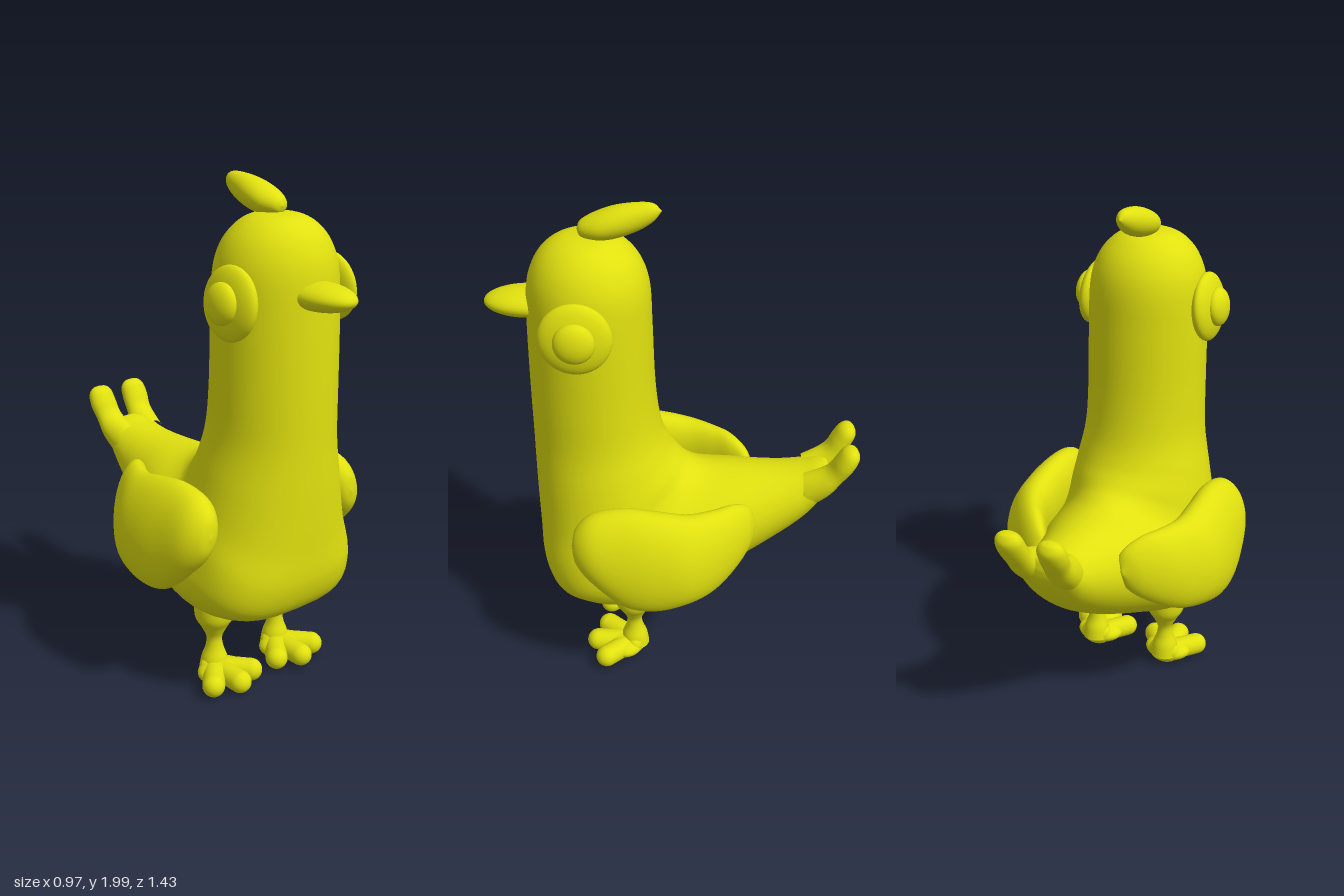
import * as THREE from 'three';
import { mergeVertices } from 'three/addons/utils/BufferGeometryUtils.js';

const V = (x, y, z) => new THREE.Vector3(x, y, z);

// Smooth skin through oval sections.
// Section: [x1,y1,z1, x2,y2,z2, halfWidth, bias]; the two points are the ends of the oval,
// bias makes it wider and squarer towards the first point.
function loft(sections, steps, sides = 40) {
  const curve = (f) => new THREE.CatmullRomCurve3(sections.map(f), false, 'catmullrom');
  const first = curve((s) => V(s[0], s[1], s[2]));
  const second = curve((s) => V(s[3], s[4], s[5]));
  const shape = curve((s) => V(s[6], s[7] || 0, 0));
  const pos = [], index = [];
  for (let i = 0; i <= steps; i++) {
    const a = first.getPoint(i / steps), b = second.getPoint(i / steps), s = shape.getPoint(i / steps);
    const bias = Math.max(s.y, 0);
    for (let j = 0; j < sides; j++) {
      const t = (j / sides) * Math.PI * 2, c = Math.cos(t), sn = Math.sin(t);
      const p = b.clone().lerp(a, (1 + c) / 2);
      const w = Math.max(s.x, 0) * Math.pow(Math.abs(sn), 1 - bias * (0.5 + 0.5 * c)) * (1 + bias * c);
      pos.push(p.x + Math.sign(sn) * w, p.y, p.z);
      if (i < steps) {
        const k = (j + 1) % sides, r = i * sides, q = r + sides;
        index.push(r + j, q + j, r + k, q + j, q + k, r + k);
      }
    }
  }
  let g = new THREE.BufferGeometry();
  g.setAttribute('position', new THREE.Float32BufferAttribute(pos, 3));
  g.setIndex(index);
  g = mergeVertices(g, 1e-5);
  g.computeVertexNormals();
  return g;
}

export function createModel() {
  const group = new THREE.Group();
  const yellow = new THREE.MeshStandardMaterial({ color: 0xe0e00f });
  yellow.name = 'yellow';

  const add = (name, geometry, parent = group) => {
    const m = new THREE.Mesh(geometry, yellow);
    m.name = name;
    parent.add(m);
    return m;
  };
  const ellipsoid = (name, center, radii, parent = group) => {
    const m = add(name, new THREE.SphereGeometry(1, 40, 28), parent);
    m.position.set(...center);
    m.scale.set(...radii);
    return m;
  };

  // Head, neck, belly and tail in one skin: [frontZ, frontY, backZ, backY, halfWidth, bias]
  const body = [
    [0.325, 1.88, 0.325, 1.88, 0],
    [0.42, 1.868, 0.235, 1.868, 0.092],
    [0.485, 1.83, 0.175, 1.83, 0.155],
    [0.53, 1.765, 0.127, 1.765, 0.203],
    [0.555, 1.67, 0.1, 1.67, 0.23],
    [0.562, 1.5, 0.093, 1.5, 0.238],
    [0.565, 1.25, 0.085, 1.25, 0.24],
    [0.565, 1.05, 0.065, 1.08, 0.247],
    [0.565, 0.85, 0.03, 0.98, 0.275, 0.04],
    [0.56, 0.65, -0.01, 0.925, 0.3, 0.12],
    [0.55, 0.5, -0.045, 0.895, 0.32, 0.25],
    [0.5, 0.39, -0.085, 0.88, 0.33, 0.33],
    [0.4, 0.34, -0.12, 0.872, 0.335, 0.35],
    [0.26, 0.315, -0.16, 0.868, 0.33, 0.33],
    [0.1, 0.31, -0.2, 0.866, 0.305, 0.25],
    [-0.05, 0.36, -0.26, 0.865, 0.255, 0.15],
    [-0.22, 0.44, -0.34, 0.865, 0.2, 0.06],
    [-0.38, 0.54, -0.42, 0.868, 0.16],
    [-0.5, 0.64, -0.5, 0.878, 0.135],
    [-0.565, 0.725, -0.56, 0.89, 0.12],
    [-0.6, 0.79, -0.6, 0.885, 0.085],
    [-0.61, 0.84, -0.61, 0.84, 0],
  ].map(([fz, fy, bz, by, w, b]) => [0, fy, fz, 0, by, bz, w, b]);
  add('body', loft(body, 126, 56));

  // Crest on top of the head: [z, bottomY, topY, halfWidth]
  add('crest', loft([
    [0.36, 1.9, 1.9, 0],
    [0.345, 1.872, 1.93, 0.035],
    [0.29, 1.86, 1.96, 0.063],
    [0.22, 1.868, 1.985, 0.064],
    [0.14, 1.895, 1.998, 0.046],
    [0.085, 1.93, 1.995, 0.027],
    [0.055, 1.968, 1.968, 0],
  ].map(([z, lo, hi, w]) => [0, lo, z, 0, hi, z, w]), 48));

  ellipsoid('beak', [0, 1.61, 0.55], [0.095, 0.052, 0.165]);

  for (const s of [1, -1]) {
    const side = s > 0 ? 'left' : 'right';

    // Bulging eye with a smaller pupil dome
    const eye = ellipsoid(side + 'Eye', [s * 0.243, 1.585, 0.36], [0.046, 0.135, 0.135]);
    eye.rotation.z = s * 0.1;
    ellipsoid(side + 'Pupil', [s * 0.285, 1.59, 0.36], [0.04, 0.076, 0.076]).rotation.z = s * 0.1;

    // Folded wing, leaning inward at the top: [z, x, y, halfThickness, halfHeight]
    add(side + 'Wing', loft([
      [0.402, 0.365, 0.74, 0, 0],
      [0.385, 0.367, 0.74, 0.045, 0.075],
      [0.32, 0.37, 0.73, 0.085, 0.145],
      [0.2, 0.375, 0.69, 0.1, 0.207],
      [0.08, 0.378, 0.675, 0.103, 0.21],
      [-0.04, 0.365, 0.675, 0.1, 0.188],
      [-0.14, 0.32, 0.682, 0.09, 0.172],
      [-0.22, 0.265, 0.702, 0.078, 0.142],
      [-0.285, 0.21, 0.713, 0.053, 0.085],
      [-0.315, 0.19, 0.716, 0, 0],
    ].map(([z, x, y, w, h]) =>
      [s * (x + 0.16 * h), y - h, z, s * (x - 0.16 * h), y + h, z, w]), 72));

    // Upturned tail prong: [x, lowerY, lowerZ, upperY, upperZ, halfWidth]
    add(side + 'TailProng', loft([
      [0.065, 0.7, -0.5, 0.87, -0.5, 0.06],
      [0.075, 0.785, -0.6, 0.9, -0.57, 0.062],
      [0.08, 0.86, -0.655, 0.925, -0.6, 0.056],
      [0.085, 0.92, -0.695, 0.965, -0.622, 0.058],
      [0.085, 0.97, -0.715, 1.0, -0.645, 0.052],
      [0.085, 1.002, -0.706, 1.014, -0.668, 0.032],
      [0.085, 1.014, -0.69, 1.014, -0.69, 0],
    ].map(([x, ly, lz, uy, uz, w]) => [s * x, ly, lz, s * x, uy, uz, w]), 48, 28));

    // Leg: thick thigh, thin shin, flared ankle
    const leg = new THREE.Group();
    leg.name = side + 'Leg';
    leg.position.set(s * 0.165, 0, 0.18);
    group.add(leg);
    const profile = new THREE.SplineCurve([
      [0.06, 0.05], [0.052, 0.1], [0.036, 0.145], [0.032, 0.19], [0.052, 0.235], [0.078, 0.285], [0.082, 0.38],
    ].map((p) => new THREE.Vector2(...p))).getPoints(30);
    add('shin', new THREE.LatheGeometry(profile, 32), leg);

    // Foot: palm, heel and three toes
    ellipsoid('palm', [0, 0.052, 0.04], [0.1, 0.045, 0.08], leg);
    ellipsoid('heel', [0, 0.06, 0], [0.07, 0.055, 0.045], leg);
    for (const [x, z] of [[-0.095, 0.115], [0, 0.158], [0.1, 0.115]]) {
      const toe = V(s * x, 0, z);
      const m = add('toe', new THREE.CapsuleGeometry(0.045, toe.length(), 10, 24), leg);
      m.position.set(toe.x / 2, 0.052, toe.z / 2);
      m.quaternion.setFromUnitVectors(V(0, 1, 0), toe.normalize());
    }
  }
  return group;
}
